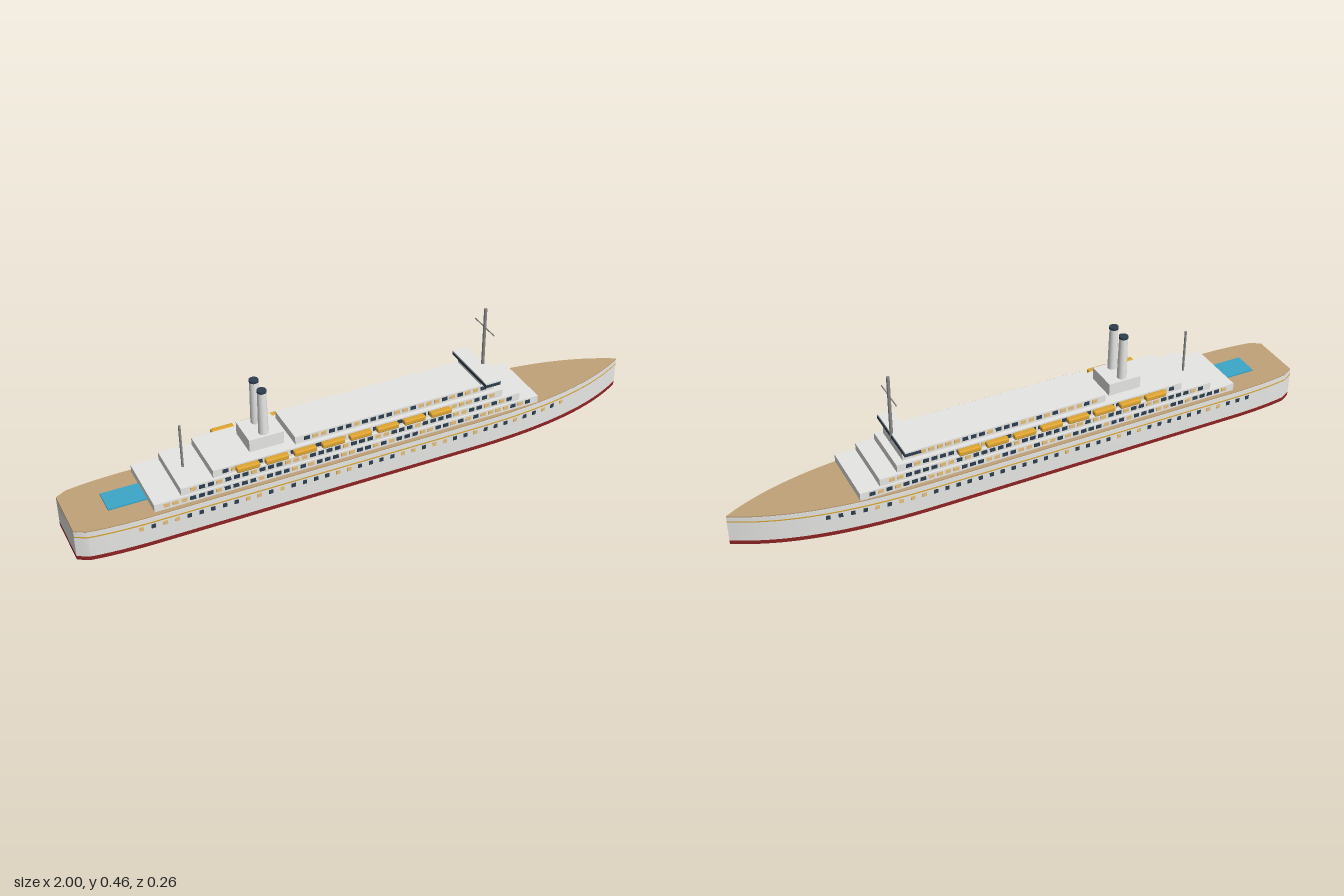
import * as THREE from 'three';
import { mergeGeometries, toCreasedNormals } from 'three/addons/utils/BufferGeometryUtils.js';
import { RoundedBoxGeometry } from 'three/addons/geometries/RoundedBoxGeometry.js';

function material(name, color) {
  const m = new THREE.MeshStandardMaterial({ color });
  m.name = name;
  return m;
}

export function createModel() {
  const ship = new THREE.Group();
  ship.name = 'oceanLiner';

  const white = material('white paint', 0xf2f2f0);
  const red = material('red antifouling', 0x8e2323);
  const gold = material('gold trim', 0xd9a52e);
  const teak = material('teak deck', 0xc0a278);
  const navy = material('navy glass', 0x2c3e50);
  const lit = material('lit window', 0xeac27a);
  const water = material('pool water', 0x3ba7c8);
  const orange = material('lifeboat yellow', 0xe0a632);
  const steel = material('mast grey', 0x8c8c8c);

  const add = (name, geometry, mat, parent = ship) => {
    const mesh = new THREE.Mesh(geometry, mat);
    mesh.name = name;
    parent.add(mesh);
    return mesh;
  };
  // Box given by its limits in x and y and its half width in z
  const block = (name, x0, x1, y0, y1, halfZ, mat) =>
    add(name, new THREE.BoxGeometry(x1 - x0, y1 - y0, halfZ * 2)
      .translate((x0 + x1) / 2, (y0 + y1) / 2, 0), mat);

  let seed = 11;
  const random = () => {
    seed = (seed * 16807) % 2147483647;
    return seed / 2147483647;
  };

  // Hull plan: narrowed stern, parallel sides, pointed bow
  const side = new THREE.Path();
  side.moveTo(-1, 0.092);
  side.lineTo(-0.965, 0.112);
  side.quadraticCurveTo(-0.9, 0.124, -0.78, 0.127);
  side.lineTo(0.35, 0.127);
  side.bezierCurveTo(0.65, 0.127, 0.85, 0.085, 1, 0);
  const port = side.getPoints(20);
  const starboard = port.slice(0, -1).reverse().map(p => new THREE.Vector2(p.x, -p.y));

  const hullSlice = (name, y0, y1, mat, widen = 1) => {
    const plan = [...port, ...starboard].map(p => new THREE.Vector2(p.x, p.y * widen));
    const g = new THREE.ExtrudeGeometry(new THREE.Shape(plan),
      { depth: y1 - y0, bevelEnabled: false });
    g.rotateX(-Math.PI / 2).translate(0, y0, 0);
    add(name, toCreasedNormals(g, 0.4), mat);
  };
  hullSlice('hullBottom', 0, 0.014, red);
  hullSlice('hull', 0.014, 0.106, white);
  hullSlice('hullStripe', 0.086, 0.09, gold, 1.01);
  hullSlice('mainDeck', 0.106, 0.11, teak, 0.985);

  // Hull half width at x, and the slope of the side there
  const hullAt = x => {
    const i = Math.max(1, port.findIndex(p => p.x >= x));
    const a = port[i - 1], b = port[i];
    const slope = (b.y - a.y) / (b.x - a.x);
    return { z: a.y + slope * (x - a.x), angle: -Math.atan(slope) };
  };

  // Panes are gathered by colour and merged into one mesh each per row
  const paneRow = (name, xs, y, w, h, litShare, sideAt) => {
    const sets = { Dark: [], Lit: [] };
    for (const s of [1, -1]) {
      for (const x of xs) {
        const { z, angle } = sideAt(x);
        const g = new THREE.BoxGeometry(w, h, 0.004)
          .rotateY(s * angle).translate(x, y, s * z);
        sets[random() < litShare ? 'Lit' : 'Dark'].push(g);
      }
    }
    for (const [key, list] of Object.entries(sets)) {
      if (list.length) add(name + key, mergeGeometries(list), key === 'Lit' ? lit : navy);
    }
  };
  const spaced = (from, to, count) =>
    Array.from({ length: count }, (_, i) => from + (to - from) * i / (count - 1));

  paneRow('portholes', spaced(-0.8, 0.71, 40), 0.073, 0.014, 0.014, 0.35, hullAt);

  // Stepped superstructure: [x0, x1, half width]
  const tiers = [
    [-0.75, 0.607, 0.112],
    [-0.66, 0.538, 0.105],
    [-0.55, 0.476, 0.096],
    [-0.267, 0.45, 0.08],
  ];
  tiers.forEach(([x0, x1, halfZ], i) => {
    const y = 0.11 + i * 0.027;
    block('deckHouse' + (i + 1), x0, x1, y, y + 0.027, halfZ, white);
    const count = Math.round((x1 - x0 - 0.08) / 0.028);
    paneRow('windows' + (i + 1), spaced(x0 + 0.04, x1 - 0.04, count),
      y + 0.015, 0.019, 0.013, 0.45, () => ({ z: halfZ, angle: 0 }));
  });

  // Bridge with wings and a wraparound window band
  block('bridgeBase', 0.402, 0.448, 0.218, 0.229, 0.078, white);
  block('bridgeWindows', 0.4, 0.455, 0.2286, 0.2395, 0.115, navy);
  block('bridgeRoof', 0.4, 0.453, 0.2395, 0.245, 0.114, white);

  // Swimming pool on the aft deck
  block('pool', -0.875, -0.75, 0.109, 0.115, 0.043, water);

  // Lifeboats along both sides
  const boatShape = new RoundedBoxGeometry(0.077, 0.018, 0.022, 2, 0.005);
  for (const s of [1, -1]) {
    for (let i = 0; i < 8; i++) {
      add('lifeboat', boatShape, orange).position.set(-0.44 + i * 0.0965, 0.181, s * 0.109);
    }
  }

  // Twin funnels side by side on their casing
  block('funnelCasing', -0.412, -0.295, 0.191, 0.235, 0.056, white);
  for (const s of [1, -1]) {
    const funnel = new THREE.Group();
    funnel.name = 'funnel';
    funnel.position.set(-0.354, 0, s * 0.032);
    ship.add(funnel);
    add('funnelStack', new THREE.CylinderGeometry(0.0145, 0.0165, 0.153, 20)
      .translate(0, 0.3115, 0), white, funnel);
    add('funnelCap', new THREE.CylinderGeometry(0.0155, 0.0155, 0.008, 20)
      .translate(0, 0.391, 0), navy, funnel);
  }

  // Masts and the forward yard
  const mast = (name, x, y0, y1, r) =>
    add(name, new THREE.CylinderGeometry(r, r, y1 - y0, 10)
      .translate(x, (y0 + y1) / 2, 0), steel);
  mast('foreMast', 0.452, 0.218, 0.457, 0.0055);
  mast('aftMast', -0.615, 0.164, 0.32, 0.004);
  add('foreMastYard', new THREE.CylinderGeometry(0.0022, 0.0022, 0.122, 8)
    .rotateX(Math.PI / 2).translate(0.452, 0.387, 0), steel);

  return ship;
}
